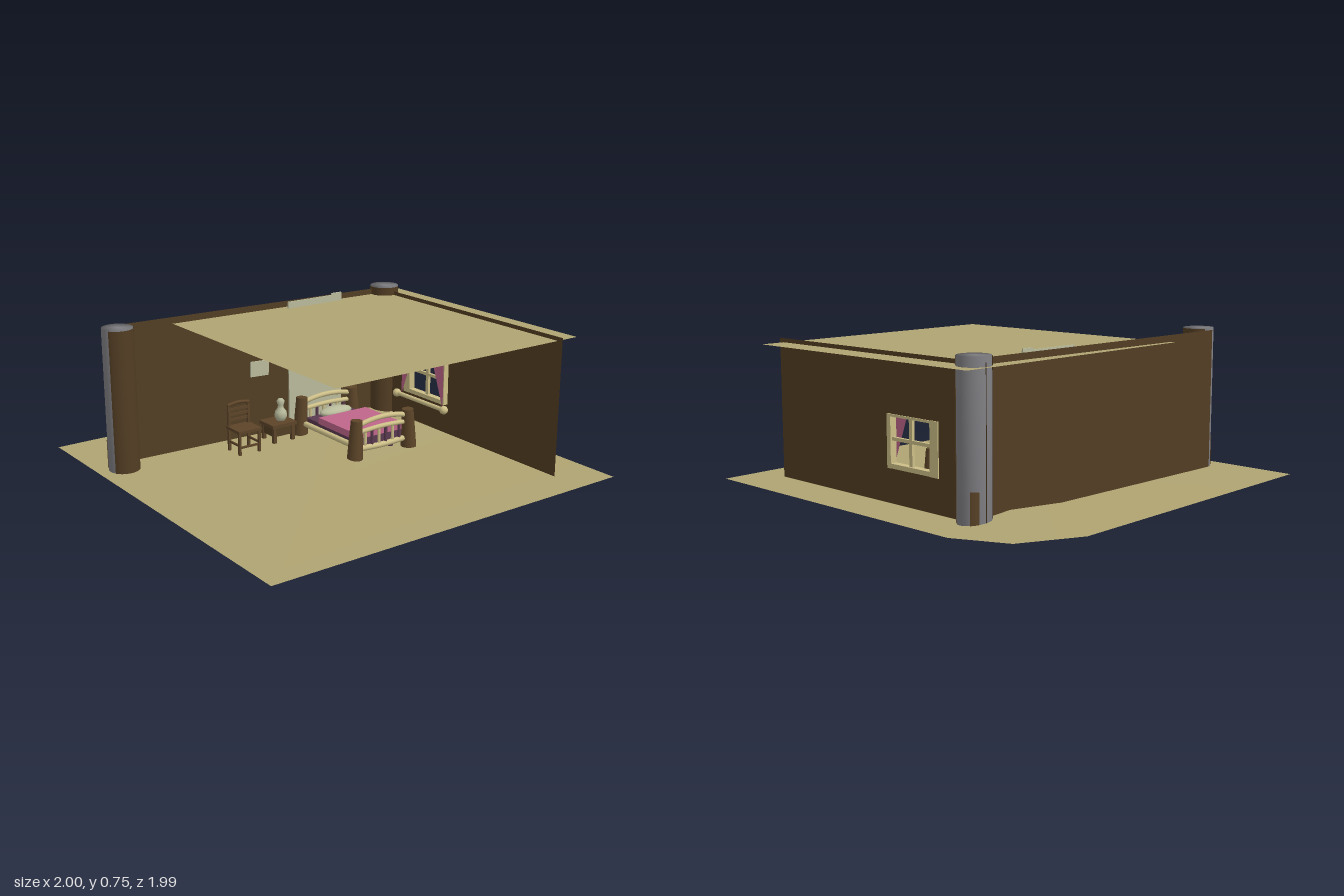
import * as THREE from 'three';
import { mergeVertices } from 'three/addons/utils/BufferGeometryUtils.js';

const mat = (name, color) => new THREE.MeshStandardMaterial({ name, color, side: THREE.DoubleSide });

export function createModel() {
  const root = new THREE.Group();
  root.name = 'cabinBedroom';
  const sand = mat('sand', 0xb0a472), wood = mat('darkWood', 0x523d23), stone = mat('stone', 0x808084),
    log = mat('paleLog', 0xcdbf88), cream = mat('cream', 0xb9bb9c), pink = mat('pink', 0xc0668a),
    bark = mat('bark', 0x5c4428), plum = mat('plum', 0x5a3a50), grey = mat('grey', 0x8a8a86);

  const add = (parent, name, geo, material, x = 0, y = 0, z = 0) => {
    const m = new THREE.Mesh(geo, material);
    m.name = name;
    m.position.set(x, y, z);
    parent.add(m);
    return m;
  };
  const box = (p, n, m, w, h, d, x, y, z) => add(p, n, new THREE.BoxGeometry(w, h, d), m, x, y, z);
  const group = (name) => {
    const g = new THREE.Group();
    g.name = name;
    root.add(g);
    return g;
  };
  const tube = (p, n, m, r, pts) => add(p, n, new THREE.TubeGeometry(
    new THREE.CatmullRomCurve3(pts.map(a => new THREE.Vector3(...a))), 16, r, 10), m);
  const sheet = (name, m, corners) => {
    const g = new THREE.BufferGeometry();
    g.setAttribute('position', new THREE.Float32BufferAttribute(corners.flat(), 3));
    const index = [];
    for (let i = 1; i < corners.length - 1; i++) index.push(0, i, i + 1);
    g.setIndex(index);
    g.computeVertexNormals();
    return add(root, name, g, m);
  };

  // Ground with one lifted back corner, and the ceiling
  sheet('ground', sand, [[-0.99, 0.028, 0.99], [1, 0.028, 0.98], [1, 0.028, -0.6],
    [0.965, 0.06, -0.93], [0.6, 0.03, -1], [-1, 0.028, -0.99]]);
  sheet('ceiling', sand, [[-0.525, 0.7, 0.785], [0.9, 0.7, 0.78], [0.9, 0.7, -0.615], [-0.53, 0.7, -0.605]]);

  // Back wall, slightly skewed
  sheet('backWall', wood, [[-0.87, 0.018, -0.59], [0.77, 0.018, -0.53], [0.77, 0.73, -0.53], [-0.87, 0.735, -0.59]]);

  // Side wall with the window opening
  const rect = (C, x0, y0, x1, y1) => new C([[x0, y0], [x1, y0], [x1, y1], [x0, y1]].map(a => new THREE.Vector2(...a)));
  const side = rect(THREE.Shape, -0.81, 0, 0.6, 0.72);
  side.holes.push(rect(THREE.Path, -0.01, 0.2, 0.29, 0.43));
  add(root, 'sideWall', new THREE.ShapeGeometry(side), wood, 0.772).rotation.y = Math.PI / 2;

  // Corner columns: stone core, wooden inner shell, small outer patch
  for (const [s, x, z, start, len] of [[1, 0.765, -0.52, -0.75, 1], [-1, -0.865, -0.51, -0.33, 1.16]]) {
    const col = group(s > 0 ? 'leftColumn' : 'rightColumn');
    col.position.set(x, 0, z);
    let g = new THREE.CylinderGeometry(0.076, 0.076, 0.725, 28);
    g.deleteAttribute('normal');
    g.deleteAttribute('uv');
    g = mergeVertices(g);
    g.computeVertexNormals();
    add(col, 'columnCore', g, stone, 0, 0.3825, 0);
    add(col, 'columnInnerShell', new THREE.CylinderGeometry(0.078, 0.078, 0.72, 24, 1, true,
      start * Math.PI, len * Math.PI), wood, 0, 0.382, 0);
    add(col, 'columnPatch', new THREE.CylinderGeometry(0.079, 0.079, 0.15, 8, 1, true,
      s * 0.75 * Math.PI - 0.25, 0.5), bark, 0, 0.105, 0);
  }

  // Window: frame, glazing bars, rod, sill and curtains
  const win = group('window');
  const fx = 0.76;
  box(win, 'frameFront', log, 0.035, 0.25, 0.025, fx, 0.315, 0.01);
  box(win, 'frameBack', log, 0.035, 0.25, 0.052, fx, 0.315, -0.284);
  box(win, 'frameTop', log, 0.035, 0.012, 0.33, fx, 0.433, -0.145);
  box(win, 'frameBottom', log, 0.035, 0.022, 0.33, fx, 0.202, -0.145);
  box(win, 'uprightBar', log, 0.015, 0.24, 0.02, fx, 0.315, -0.125);
  box(win, 'crossBar', log, 0.015, 0.016, 0.29, fx, 0.325, -0.135);
  for (const [y, r] of [[0.475, 0.014], [0.175, 0.012]]) {
    tube(win, 'rod', log, r, [[0.722, y, 0.05], [0.722, y, -0.145], [0.722, y, -0.34]]);
    for (const z of [0.05, -0.34]) add(win, 'rodKnob', new THREE.SphereGeometry(r * 1.9, 14, 10), log, 0.722, y, z);
  }
  for (const s of [1, -1]) {
    const z = a => -0.13 + s * a;
    sheet('curtain', pink, [[0.722, 0.47, z(0.06)], [0.722, 0.47, z(0.17)], [0.722, 0.18, z(0.17)],
      [0.722, 0.3, z(0.13)], [0.722, 0.36, z(0.12)]]);
  }

  // Hanging panel behind the bed with pink band and two studs
  const panel = group('wallPanel');
  box(panel, 'panel', cream, 0.345, 0.7, 0.008, 0.2925, 0.385, -0.515);
  box(panel, 'panelTopStep', cream, 0.065, 0.012, 0.008, 0.432, 0.739, -0.515);
  box(panel, 'pinkBand', pink, 0.245, 0.026, 0.008, 0.2875, 0.618, -0.508);
  for (const [x, y, r] of [[0.3, 0.555, 0.018], [0.285, 0.432, 0.022]])
    add(panel, 'stud', new THREE.SphereGeometry(r, 14, 8), grey, x, y, -0.505).scale.set(1, 0.75, 0.5);

  // Bed: tapering posts, log rails, slats, mattress and blanket
  const bed = group('bed');
  for (const z of [0.05, -0.43]) {
    for (const s of [1, -1]) {
      const p = add(bed, 'bedPost', new THREE.CylinderGeometry(0.03, 0.041, 0.208, 16), bark,
        0.31 + s * 0.17, 0.127, z);
      p.rotation.z = s * 0.05;
    }
    tube(bed, 'archedRail', log, 0.013, [[0.15, 0.2, z], [0.22, 0.215, z], [0.31, 0.222, z], [0.4, 0.215, z], [0.47, 0.2, z]]);
    tube(bed, 'middleRail', log, 0.012, [[0.15, 0.165, z], [0.31, 0.172, z], [0.47, 0.165, z]]);
    tube(bed, 'lowerRail', log, 0.015, [[0.15, 0.078, z], [0.31, 0.072, z], [0.47, 0.078, z]]);
    for (let i = 0; i < 6; i++)
      add(bed, 'slat', new THREE.CylinderGeometry(0.008, 0.008, 0.1, 8), i % 2 ? plum : log, 0.2 + i * 0.044, 0.12, z);
  }
  for (const s of [1, -1])
    tube(bed, 'sideRail', log, 0.015, [[0.31 + s * 0.165, 0.09, 0.05], [0.31 + s * 0.165, 0.09, -0.19], [0.31 + s * 0.165, 0.09, -0.43]]);
  box(bed, 'mattress', plum, 0.3, 0.05, 0.44, 0.31, 0.095, -0.19);
  box(bed, 'blanket', pink, 0.31, 0.035, 0.32, 0.31, 0.135, -0.13);
  add(bed, 'pillow', new THREE.SphereGeometry(0.1, 16, 10), cream, 0.31, 0.145, -0.35).scale.set(1, 0.28, 0.5);

  // Small stool-like ornament by the bed
  add(root, 'ornament', new THREE.CylinderGeometry(0.02, 0.014, 0.045, 12), plum, 0.41, 0.032, -0.01);

  // Bedside table with a vase
  const table = group('bedsideTable');
  box(table, 'tableTop', bark, 0.15, 0.018, 0.13, -0.008, 0.122, -0.43);
  box(table, 'drawer', wood, 0.125, 0.05, 0.11, -0.008, 0.09, -0.43);
  for (const x of [-0.065, 0.049]) for (const z of [-0.48, -0.38])
    box(table, 'tableLeg', bark, 0.018, 0.085, 0.018, x, 0.073, z);
  const profile = [[0, 0], [0.022, 0], [0.034, 0.025], [0.03, 0.05], [0.016, 0.068], [0.015, 0.085], [0.022, 0.105], [0.012, 0.118], [0, 0.12]];
  add(table, 'vase', new THREE.LatheGeometry(profile.map(a => new THREE.Vector2(...a)), 18), cream, 0.01, 0.13, -0.43);

  // Chair facing the room
  const chair = group('chair');
  chair.position.set(-0.265, 0, -0.355);
  for (const s of [1, -1]) {
    box(chair, 'backLeg', bark, 0.013, 0.245, 0.013, s * 0.058, 0.163, -0.05);
    box(chair, 'frontLeg', bark, 0.013, 0.12, 0.013, s * 0.058, 0.1, 0.05);
    box(chair, 'sideRung', bark, 0.009, 0.01, 0.1, s * 0.058, 0.09, 0);
  }
  box(chair, 'seat', bark, 0.135, 0.014, 0.125, 0, 0.162, 0);
  box(chair, 'frontRung', bark, 0.115, 0.01, 0.009, 0, 0.08, 0.05);
  for (const y of [0.2, 0.228, 0.254]) box(chair, 'backSlat', bark, 0.115, 0.014, 0.008, 0, y, -0.05);
  tube(chair, 'topRail', bark, 0.009, [[-0.062, 0.28, -0.05], [0, 0.288, -0.05], [0.062, 0.28, -0.05]]);

  // Wall decorations: picture and round shield-shaped mirror
  const pic = box(root, 'picture', cream, 0.112, 0.082, 0.008, -0.042, 0.394, -0.548);
  pic.rotation.z = -0.04;
  const mirror = group('roundMirror');
  mirror.position.set(0.568, 0.335, -0.525);
  add(mirror, 'mirrorFace', new THREE.CylinderGeometry(0.05, 0.064, 0.016, 24), grey).rotation.x = Math.PI / 2;
  add(mirror, 'mirrorRim', new THREE.TorusGeometry(0.06, 0.006, 8, 24), cream);
  add(mirror, 'mirrorBoss', new THREE.SphereGeometry(0.022, 14, 10), cream, 0, 0, 0.012);

  return root;
}
